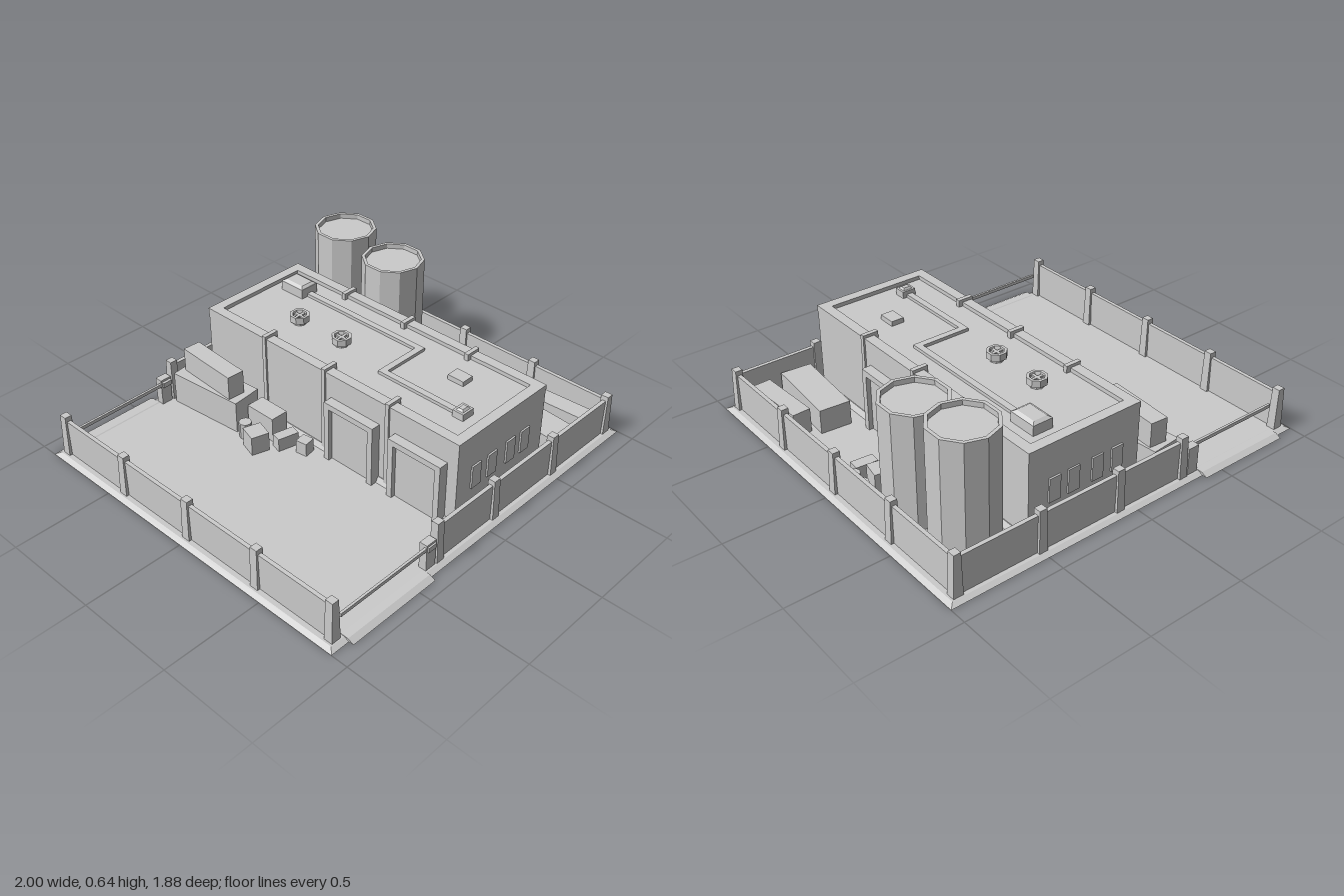
import * as THREE from 'three';

const material = new THREE.MeshStandardMaterial({ color: 0xcccccc, flatShading: true });

export function createModel() {
  const model = new THREE.Group();

  function add(name, geometry, x = 0, y = 0, z = 0, turn = 0) {
    const mesh = new THREE.Mesh(geometry, material);
    mesh.name = name;
    mesh.position.set(x, y, z);
    mesh.rotation.y = turn;
    model.add(mesh);
    return mesh;
  }

  // Box standing on y, with optional inward taper of its top edges
  function block(name, x, y, z, w, h, d, turn = 0, taperX = 0, taperZ = 0) {
    const g = new THREE.BoxGeometry(w, h, d).translate(0, h / 2, 0);
    const p = g.attributes.position;
    for (let i = 0; i < p.count; i++) {
      if (p.getY(i) > h / 2) {
        p.setX(i, p.getX(i) - Math.sign(p.getX(i)) * taperX);
        p.setZ(i, p.getZ(i) - Math.sign(p.getZ(i)) * taperZ);
      }
    }
    g.computeVertexNormals();
    return add(name, g, x, y, z, turn);
  }

  // Box given by its limits
  const span = (name, x0, x1, y0, y1, z0, z1) =>
    block(name, (x0 + x1) / 2, y0, (z0 + z1) / 2, x1 - x0, y1 - y0, z1 - z0);

  const cylinder = (name, x, y, z, r, h, sides, rTop = r) =>
    add(name, new THREE.CylinderGeometry(rTop, r, h, sides).translate(0, h / 2, 0), x, y, z);

  // Rectangular ring extruded upwards
  function rim(name, x, y, z, w, d, t, h) {
    const rect = (s, a, b) => s.moveTo(-a, -b).lineTo(a, -b).lineTo(a, b).lineTo(-a, b).closePath();
    const shape = rect(new THREE.Shape(), w / 2, d / 2);
    shape.holes.push(rect(new THREE.Path(), w / 2 - t, d / 2 - t));
    const g = new THREE.ExtrudeGeometry(shape, { depth: h, bevelEnabled: false });
    return add(name, g.rotateX(-Math.PI / 2), x, y, z);
  }

  // Ground slab with sloped edge, and entry ramps
  const floor = 0.012;
  block('groundSlab', 0, 0, 0, 2, floor, 1.83, 0, 0.025, 0.025);
  for (const s of [-1, 1]) {
    block('entryRamp', -0.65, 0, s * 0.89, 0.5, 0.015, 0.1, 0, 0, 0.03);
  }

  // Perimeter walls
  const wallX = 0.94, wallZ = 0.862;
  for (const s of [-1, 1]) {
    block('sideWall', s * wallX, 0.005, 0, 0.02, 0.195, 2 * wallZ);
    block('endWall', 0.32, 0.005, s * wallZ, 1.25, 0.195, 0.02);
    for (const z of [-wallZ, -0.433, 0, 0.433, wallZ]) {
      block('wallPost', s * wallX, 0.005, z, 0.05, 0.22, 0.045, 0, 0.007, 0.003);
    }
    for (const x of [-0.305, 0.075, 0.507]) {
      block('wallPost', x, 0.005, s * wallZ, 0.045, 0.22, 0.05, 0, 0.003, 0.007);
    }
    // Gate barrier
    block('barrierPost', -0.365, 0.005, s * wallZ, 0.06, 0.147, 0.04);
    const bz = s > 0 ? 0.875 : -0.842;
    block('barrierArm', -0.63, 0.12, bz, 0.56, 0.018, 0.012);
    block('barrierMount', -0.365, 0.115, bz, 0.05, 0.026, 0.03);
  }

  // Main building
  const cx = 0.213, cz = -0.006;
  block('buildingPlinth', cx, 0.005, cz, 0.655, 0.035, 1.64, 0, 0.018, 0.018);
  block('buildingBody', cx, 0.01, cz, 0.612, 0.43, 1.585);
  rim('parapet', cx, 0.43, cz, 0.615, 1.588, 0.052, 0.03);

  // Pilasters hooked over the parapet
  for (const z of [-0.4, -0.008, 0.385]) {
    for (const s of [-1, 1]) {
      block('pilaster', cx + s * 0.305, 0.01, z, 0.02, 0.465, 0.022);
      block('pilasterCap', cx + s * 0.274, 0.435, z, 0.082, 0.04, 0.022);
    }
  }

  // End wall windows
  for (const z of [cz - 0.793, cz + 0.793]) {
    for (const x of [0.034, 0.145, 0.278, 0.382]) block('window', x, 0.17, z, 0.062, 0.12, 0.016);
  }

  // Loading doors: jambs, lintel and a recessed panel
  function loadingDoor(side, z) {
    const x = cx + side * 0.325;
    for (const s of [-1, 1]) block('doorJamb', x, floor, z + s * 0.135, 0.062, 0.323, 0.03);
    block('doorLintel', x, 0.305, z, 0.062, 0.03, 0.3);
    block('doorPanel', x - side * 0.012, floor, z, 0.04, 0.294, 0.24);
  }
  loadingDoor(1, 0.187);
  loadingDoor(-1, 0.187);
  loadingDoor(-1, 0.58);

  // Roof fans
  const roof = 0.438;
  for (const z of [-0.405, -0.125]) {
    cylinder('fanBase', 0.145, roof, z, 0.035, 0.03, 8);
    const profile = [[0.038, 0.018], [0.05, 0.018], [0.05, 0.052], [0.036, 0.052], [0.03, 0.036], [0, 0.036]];
    const g = new THREE.LatheGeometry(profile.map(([r, y]) => new THREE.Vector2(r, y)), 8);
    add('fanCowl', g, 0.145, roof, z, Math.PI / 8);
    block('fanBlade', 0.145, roof + 0.03, z, 0.075, 0.015, 0.014);
    block('fanBlade', 0.145, roof + 0.03, z, 0.014, 0.015, 0.075);
  }

  // Roof unit, duct run and hatch
  block('roofUnit', 0.358, roof, -0.623, 0.105, 0.052, 0.145);
  block('roofUnitLid', 0.358, roof + 0.052, -0.623, 0.1, 0.01, 0.14, 0, 0.015, 0.015);
  span('roofDuct', 0.343, 0.375, roof, 0.456, -0.56, 0.195);
  span('roofDuct', 0.085, 0.345, roof, 0.456, 0.162, 0.195);
  span('roofDuct', 0.085, 0.117, roof, 0.456, 0.19, 0.63);
  block('ductEnd', 0.103, roof, 0.645, 0.072, 0.037, 0.06);
  block('ductEndLid', 0.103, roof + 0.037, 0.645, 0.05, 0.01, 0.04, 0, 0.008, 0.008);
  block('roofHatch', 0.305, roof, 0.465, 0.068, 0.027, 0.09);

  // Storage tanks with raised rims on a shared pad
  span('tankPad', 0.567, 0.9, 0.005, 0.022, -0.835, -0.175);
  for (const [z, top] of [[-0.663, 0.642], [-0.333, 0.588]]) {
    const profile = [[0.16, 0.01], [0.16, top], [0.143, top], [0.143, top - 0.025], [0, top - 0.025]];
    const g = new THREE.LatheGeometry(profile.map(([r, y]) => new THREE.Vector2(r, y)), 10);
    add('storageTank', g, 0.738, 0, z);
  }

  // Containers: wide and narrow; one pair is stacked
  block('wideContainer', -0.233, floor, -0.617, 0.158, 0.168, 0.412, 0.09);
  block('narrowContainer', -0.235, 0.18, -0.622, 0.092, 0.125, 0.345, -0.06);
  block('wideContainer', 0.665, floor, 0.62, 0.158, 0.125, 0.412, -0.078);
  block('narrowContainer', 0.838, floor, 0.64, 0.094, 0.125, 0.345, 0.05);

  // Crates: x, z, width, height, depth, turn
  const crates = [
    [-0.178, -0.31, 0.096, 0.13, 0.17, 0], [-0.31, -0.25, 0.092, 0.1, 0.095, -0.3],
    [-0.2, -0.162, 0.11, 0.07, 0.055, -0.24], [-0.172, -0.062, 0.06, 0.07, 0.06, 0.15],
    [0.64, -0.055, 0.096, 0.13, 0.17, 0.15], [0.77, -0.09, 0.09, 0.1, 0.095, -0.19],
    [0.777, 0.027, 0.11, 0.07, 0.058, -0.08],
  ];
  for (const [x, z, w, h, d, turn] of crates) block('crate', x, floor, z, w, h, d, turn);

  // Barrels
  for (const [x, z] of [[-0.284, -0.353], [0.877, -0.112], [0.871, -0.034]]) {
    cylinder('barrel', x, floor, z, 0.032, 0.085, 8);
  }

  return model;
}
